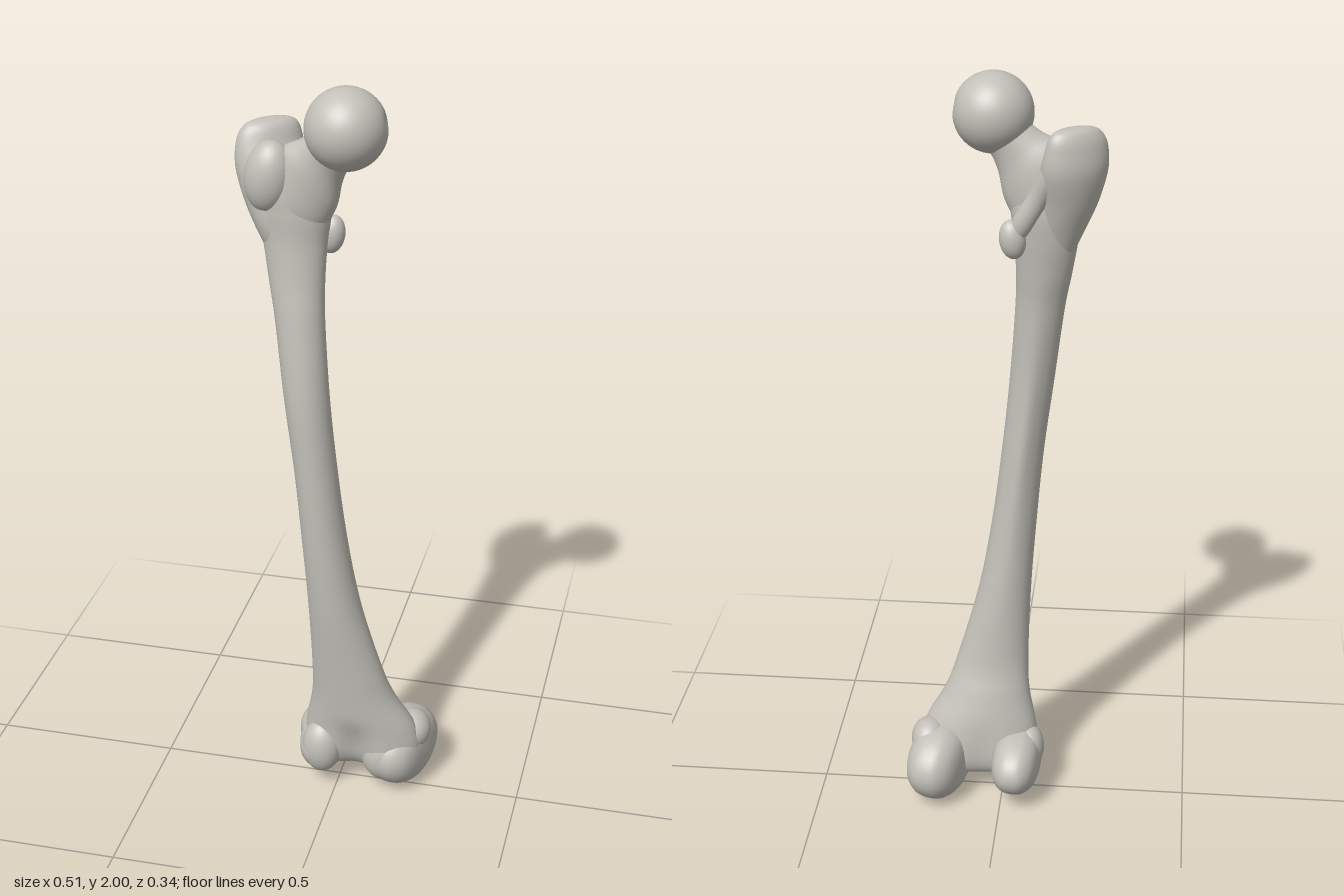
import * as THREE from 'three';

const bone = new THREE.MeshStandardMaterial({ color: 0xc2c0b8 });
bone.name = 'bone';
const V = (x, y, z) => new THREE.Vector3(x, y, z);

// Smooth skin over elliptical sections [x, y, z, a, b]: a lies along u, b along w x u
function loft(name, sections, w, u, steps = 6, deform = null, sides = 40) {
  w.normalize();
  u.normalize();
  const v = w.clone().cross(u);
  const path = new THREE.CatmullRomCurve3(sections.map(s => V(s[0], s[1], s[2])), false, 'catmullrom', 0.5);
  const size = new THREE.CatmullRomCurve3(sections.map(s => V(s[3], s[4], 0)), false, 'catmullrom', 0.5);
  const rows = (sections.length - 1) * steps;
  const pos = [], idx = [];
  for (let i = 0; i <= rows; i++) {
    const c = path.getPoint(i / rows), r = size.getPoint(i / rows);
    for (let j = 0; j < sides; j++) {
      const t = (j / sides) * Math.PI * 2;
      const p = c.clone()
        .addScaledVector(u, Math.max(r.x, 0.0005) * Math.cos(t))
        .addScaledVector(v, Math.max(r.y, 0.0005) * Math.sin(t));
      if (deform) deform(p, t);
      pos.push(p.x, p.y, p.z);
      if (i < rows) {
        const k = (j + 1) % sides, a = i * sides, b = a + sides;
        idx.push(a + j, a + k, b + j, a + k, b + k, b + j);
      }
    }
  }
  const geo = new THREE.BufferGeometry();
  geo.setAttribute('position', new THREE.Float32BufferAttribute(pos, 3));
  geo.setIndex(idx);
  geo.computeVertexNormals();
  const mesh = new THREE.Mesh(geo, bone);
  mesh.name = name;
  return mesh;
}

function knob(name, x, y, z, rx, ry, rz, tilt = 0) {
  const mesh = new THREE.Mesh(new THREE.SphereGeometry(1, 32, 24), bone);
  mesh.position.set(x, y, z);
  mesh.scale.set(rx, ry, rz);
  mesh.rotation.z = tilt;
  mesh.name = name;
  return mesh;
}

// Wheel-like condyle: round sections stacked across its width
function condyle(name, c, halfWidth, a, b, u) {
  u.normalize();
  const w = V(u.z, 0, -u.x);
  const profile = [[-1, 0], [-0.93, 0.45], [-0.75, 0.76], [-0.4, 0.96], [0, 1], [0.4, 0.95], [0.75, 0.76], [0.93, 0.45], [1, 0]];
  const sections = profile.map(([t, r]) => {
    const p = c.clone().addScaledVector(w, t * halfWidth);
    return [p.x, p.y, p.z, a * r, b * r];
  });
  return loft(name, sections, w, u, 4);
}

export function createModel() {
  const g = new THREE.Group();
  g.name = 'thighBone';

  // Shaft: y, then x and z limits; bowed forward, flaring toward the knee
  const limits = [
    [0.055, 0.04, 0.08, -0.02, 0.02],
    [0.07, -0.04, 0.17, -0.06, 0.06],
    [0.12, -0.095, 0.225, -0.075, 0.085],
    [0.20, -0.09, 0.215, -0.065, 0.09],
    [0.30, -0.07, 0.16, -0.04, 0.10],
    [0.40, -0.065, 0.125, -0.015, 0.11],
    [0.60, -0.07, 0.07, 0.00, 0.13],
    [0.80, -0.083, 0.035, 0.012, 0.14],
    [1.00, -0.10, 0.01, 0.018, 0.142],
    [1.20, -0.125, -0.01, 0.018, 0.138],
    [1.40, -0.15, -0.025, 0.005, 0.115],
    [1.50, -0.168, -0.028, -0.01, 0.10],
    [1.60, -0.185, -0.024, -0.025, 0.09],
    [1.68, -0.20, -0.015, -0.03, 0.09],
    [1.75, -0.20, -0.03, -0.015, 0.085],
    [1.80, -0.14, -0.08, 0.02, 0.05],
  ];
  const shaft = limits.map(([y, x0, x1, z0, z1]) =>
    [(x0 + x1) / 2, y, (z0 + z1) / 2, (x1 - x0) / 2, (z1 - z0) / 2]);
  g.add(loft('shaft', shaft, V(0, 1, 0), V(1, 0, 0), 8, (p, t) => {
    // rough ridge along the back
    const mid = Math.exp(-(((p.y - 1.05) / 0.35) ** 2));
    p.z -= 0.008 * mid * Math.max(0, Math.sin(t)) ** 10;
    // kneecap groove in front, hollow between the condyles behind
    const low = 1 - THREE.MathUtils.smoothstep(p.y, 0.12, 0.26);
    p.z += (Math.sin(t) > 0 ? 0.012 : -0.03) * low * Math.exp(-(((p.x - 0.055) / 0.045) ** 2));
  }, 48));

  // Neck, thick at its base and narrow below the head
  g.add(loft('neck', [
    [-0.125, 1.63, 0.03, 0.04, 0.03],
    [-0.105, 1.69, 0.032, 0.09, 0.056],
    [-0.07, 1.76, 0.038, 0.098, 0.056],
    [-0.035, 1.81, 0.046, 0.072, 0.052],
    [-0.005, 1.847, 0.055, 0.06, 0.056],
    [0.025, 1.88, 0.065, 0.066, 0.066],
  ], V(1, 1, 0), V(1, -1, 0), 8));

  // Ball head with a small pit on the inner side
  const ball = new THREE.SphereGeometry(0.1, 64, 48);
  const pit = V(0.95, 0.2, -0.12).normalize();
  const at = ball.attributes.position, p = V(0, 0, 0);
  for (let i = 0; i < at.count; i++) {
    p.fromBufferAttribute(at, i);
    const d = p.angleTo(pit);
    p.multiplyScalar(1 - 0.09 * Math.exp(-((d / 0.17) ** 2)));
    at.setXYZ(i, p.x, p.y, p.z);
  }
  ball.computeVertexNormals();
  const head = new THREE.Mesh(ball, bone);
  head.name = 'head';
  head.position.set(0.03, 1.9, 0.067);
  g.add(head);

  // Greater trochanter: a blade set obliquely on the outer side
  g.add(loft('greaterTrochanter', [
    [-0.135, 1.52, 0.03, 0.015, 0.02],
    [-0.145, 1.62, 0.025, 0.055, 0.05],
    [-0.162, 1.70, 0.012, 0.075, 0.06],
    [-0.172, 1.78, -0.003, 0.09, 0.06],
    [-0.177, 1.84, -0.01, 0.084, 0.046],
    [-0.175, 1.872, -0.013, 0.07, 0.034],
    [-0.173, 1.886, -0.015, 0.045, 0.02],
    [-0.172, 1.89, -0.015, 0, 0],
  ], V(0, 1, 0), V(0.81, 0, -0.59), 8));
  g.add(knob('frontTubercle', -0.163, 1.765, 0.055, 0.06, 0.09, 0.052, -0.15));

  // Crest running down to the lesser trochanter
  g.add(loft('backCrest', [
    [-0.145, 1.83, -0.04, 0.01, 0.01],
    [-0.125, 1.79, -0.04, 0.028, 0.026],
    [-0.085, 1.71, -0.025, 0.026, 0.022],
    [-0.045, 1.64, -0.015, 0.026, 0.024],
    [-0.025, 1.59, -0.01, 0.008, 0.01],
  ], V(0.5, -0.86, 0), V(0.86, 0.5, 0)));
  g.add(knob('lesserTrochanter', -0.024, 1.605, -0.014, 0.033, 0.05, 0.03, -0.15));

  // Knee end: two condyles, side bumps and the front lips of the groove
  g.add(condyle('innerCondyle', V(0.17, 0.104, -0.04), 0.077, 0.132, 0.104, V(-0.27, 0, 0.96)));
  g.add(condyle('outerCondyle', V(-0.042, 0.113, -0.035), 0.066, 0.13, 0.085, V(-0.08, 0, 1)));
  g.add(knob('innerEpicondyle', 0.2, 0.165, -0.03, 0.05, 0.055, 0.06));
  g.add(knob('outerEpicondyle', -0.075, 0.14, -0.015, 0.04, 0.06, 0.055));
  g.add(knob('outerGrooveLip', -0.04, 0.125, 0.05, 0.055, 0.08, 0.05));
  g.add(knob('innerGrooveLip', 0.13, 0.11, 0.035, 0.06, 0.075, 0.05));
  return g;
}
